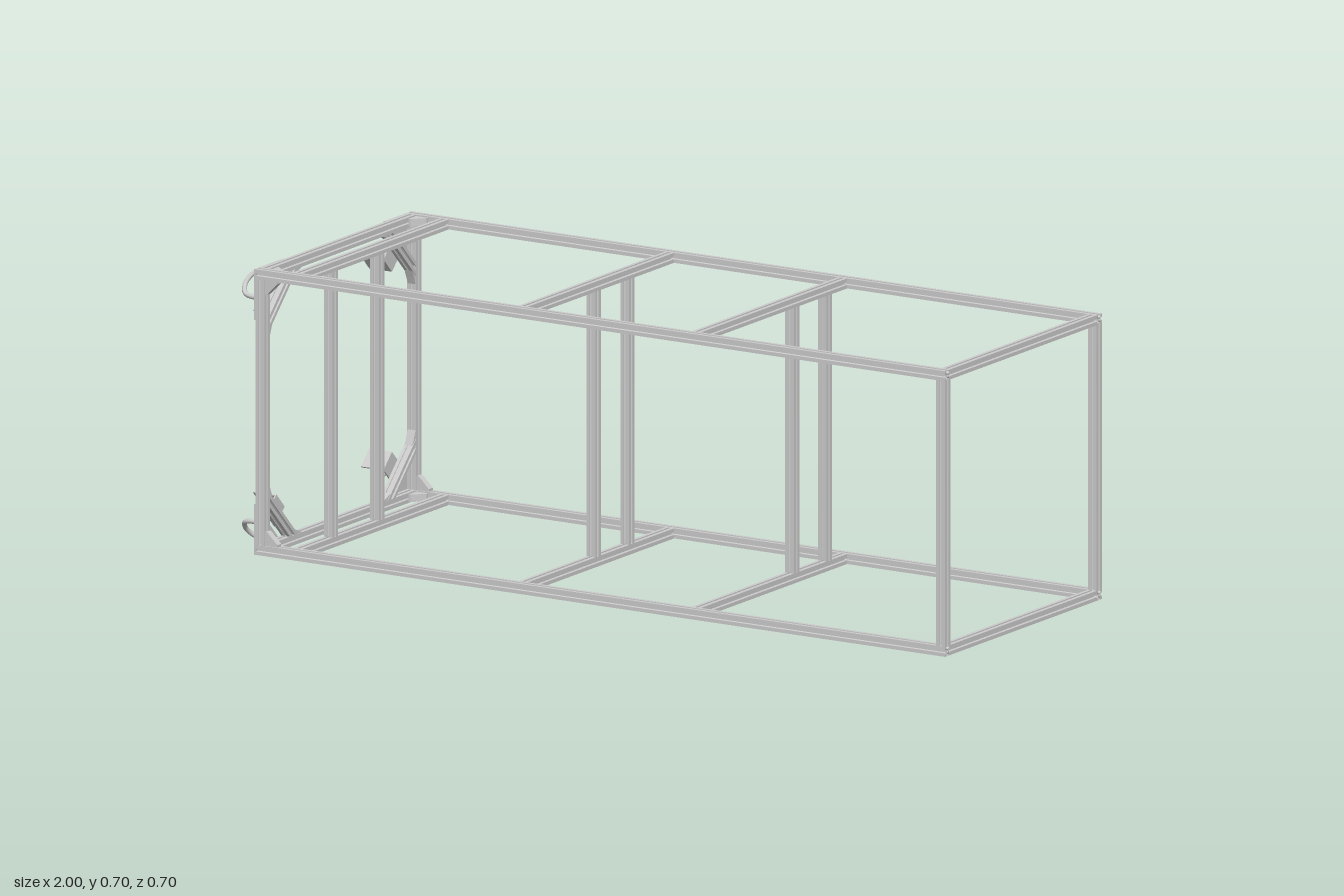
import * as THREE from 'three';

const S = 0.0245;          // bar width
const H = 0.697;           // frame height and depth
const C = H / 2 - S / 2;   // bar centre line, from the frame axis
const IN = H / 2 - S;      // inner face, from the frame axis
const X0 = -0.936, X1 = 1; // frame ends
const mat = new THREE.MeshStandardMaterial({ color: 0xcccccc, side: THREE.DoubleSide });

function add(parent, name, geometry) {
  const m = new THREE.Mesh(geometry, mat);
  m.name = name;
  parent.add(m);
  return m;
}

// Slotted square section: one side, repeated four times, with a centre bore
function slotSection() {
  const h = S / 2;
  const side = [[-h, -h], [-0.0035, -h], [-0.0035, -h + 0.0022], [-0.0065, -h + 0.0022],
    [-0.0065, -h + 0.004], [-0.003, -h + 0.0075], [0.003, -h + 0.0075], [0.0065, -h + 0.004],
    [0.0065, -h + 0.0022], [0.0035, -h + 0.0022], [0.0035, -h]];
  const pts = [];
  for (let k = 0; k < 4; k++) {
    for (const [x, y] of side) {
      pts.push(new THREE.Vector2(x, y).rotateAround(new THREE.Vector2(), k * Math.PI / 2));
    }
  }
  const shape = new THREE.Shape(pts);
  shape.holes.push(new THREE.Path().absarc(0, 0, 0.0028, 0, Math.PI * 2, true));
  return shape;
}
const section = slotSection();

// Slotted bar centred on its middle, running along the given axis
function barGeometry(length, axis) {
  const g = new THREE.ExtrudeGeometry(section, { depth: length, bevelEnabled: false, curveSegments: 4 });
  g.translate(0, 0, -length / 2);
  if (axis === 'x') g.rotateY(Math.PI / 2);
  if (axis === 'y') g.rotateX(Math.PI / 2);
  return g;
}

function bar(parent, name, length, axis, x, y, z) {
  add(parent, name, barGeometry(length, axis)).position.set(x, y, z);
}

// Flat plate from [z, y] points, growing from x towards -x
function plateGeometry(points, thickness, x) {
  const shape = new THREE.Shape(points.map(p => new THREE.Vector2(...p)));
  const g = new THREE.ExtrudeGeometry(shape, { depth: thickness, bevelEnabled: false });
  return g.rotateY(-Math.PI / 2).translate(x, 0, 0);
}

// Fittings of one end corner, built for +y +z around the frame axis
function cornerFittings() {
  const corner = new THREE.Group();
  corner.name = 'cornerFittings';

  // Inner gussets joining the end frame to the long rail
  const x = X0 + S, leg = 0.034, w = 0.018;
  const tri = new THREE.Shape([[x, IN], [x, IN - leg], [x + 0.006, IN - leg], [x + leg, IN - 0.006], [x + leg, IN]]
    .map(p => new THREE.Vector2(...p)));
  const gusset = new THREE.ExtrudeGeometry(tri, { depth: w, bevelEnabled: false }).translate(0, 0, -w / 2);
  add(corner, 'postGusset', gusset).position.z = C;
  add(corner, 'crossbarGusset', gusset.clone().rotateX(Math.PI / 2)).position.y = C;

  // Diagonal space: y points out through the corner, z runs along the brace
  const d = new THREE.Group();
  d.name = 'diagonalBrace';
  d.position.set(0, IN, IN);
  d.rotation.x = Math.PI / 4;
  corner.add(d);

  // Brace with mitred ends
  const r = 0.0755;
  const brace = barGeometry(2 * r, 'z');
  const p = brace.attributes.position;
  for (let i = 0; i < p.count; i++) p.setZ(i, p.getZ(i) - Math.sign(p.getZ(i)) * p.getY(i));
  brace.computeVertexNormals();
  add(d, 'brace', brace).position.set(X0 + S / 2, -r, 0);

  // Wedges at the brace ends
  for (const s of [1, -1]) {
    add(d, 'braceWedge', plateGeometry([[s * 0.088, -0.088], [s * 0.103, -0.103], [s * 0.085, -0.095], [s * 0.068, -0.088]], S * 0.9, X0 + S * 0.95));
  }

  // Triangular outer plate
  const top = S * Math.SQRT2, base = -0.053, half = top - base;
  add(d, 'cornerPlate', plateGeometry([[0, top], [-half, base], [half, base]], 0.004, X0));

  // Angle bracket: plate on the brace and an outward flange
  add(d, 'bracketPlate', plateGeometry([[-0.026, -0.1216], [0.026, -0.1216], [0.026, -0.064], [-0.026, -0.064]], 0.004, X0));
  add(d, 'bracketFlange', new THREE.BoxGeometry(0.064, 0.004, 0.052)).position.set(-0.968, -0.1196, 0);

  // Rounded pull loop
  const loop = new THREE.CatmullRomCurve3([[-0.938, -0.036], [-0.965, -0.036], [-0.984, -0.028], [-0.994, 0],
    [-0.984, 0.028], [-0.965, 0.036], [-0.938, 0.036]].map(([a, z]) => new THREE.Vector3(a, -0.034, z)));
  add(d, 'pullLoop', new THREE.TubeGeometry(loop, 32, 0.006, 10));
  return corner;
}

export function createModel() {
  const model = new THREE.Group();
  model.name = 'slottedBarFrame';
  const frame = new THREE.Group();
  frame.name = 'frame';
  frame.position.y = H / 2;
  model.add(frame);

  // Long rails
  for (const y of [-C, C]) {
    for (const z of [-C, C]) bar(frame, 'longRail', X1 - X0, 'x', (X0 + X1) / 2, y, z);
  }

  // End frames and inner frames, each with two uprights
  const frames = [
    [X0 + S / 2, [-C, C]],
    [-0.832, [0.178, -0.027]],
    [-0.199, [0.013, -0.137]],
    [0.287, [-0.1, -0.245]],
    [X1 - S / 2, [-C, C]],
  ];
  for (const [x, uprights] of frames) {
    for (const y of [-C, C]) bar(frame, 'crossbar', 2 * IN, 'z', x, y, 0);
    for (const z of uprights) bar(frame, 'upright', 2 * IN, 'y', x, 0, z);
  }

  // Four braced corners on the -x end
  for (let k = 0; k < 4; k++) {
    const corner = cornerFittings();
    corner.rotation.x = k * Math.PI / 2;
    frame.add(corner);
  }
  return model;
}
